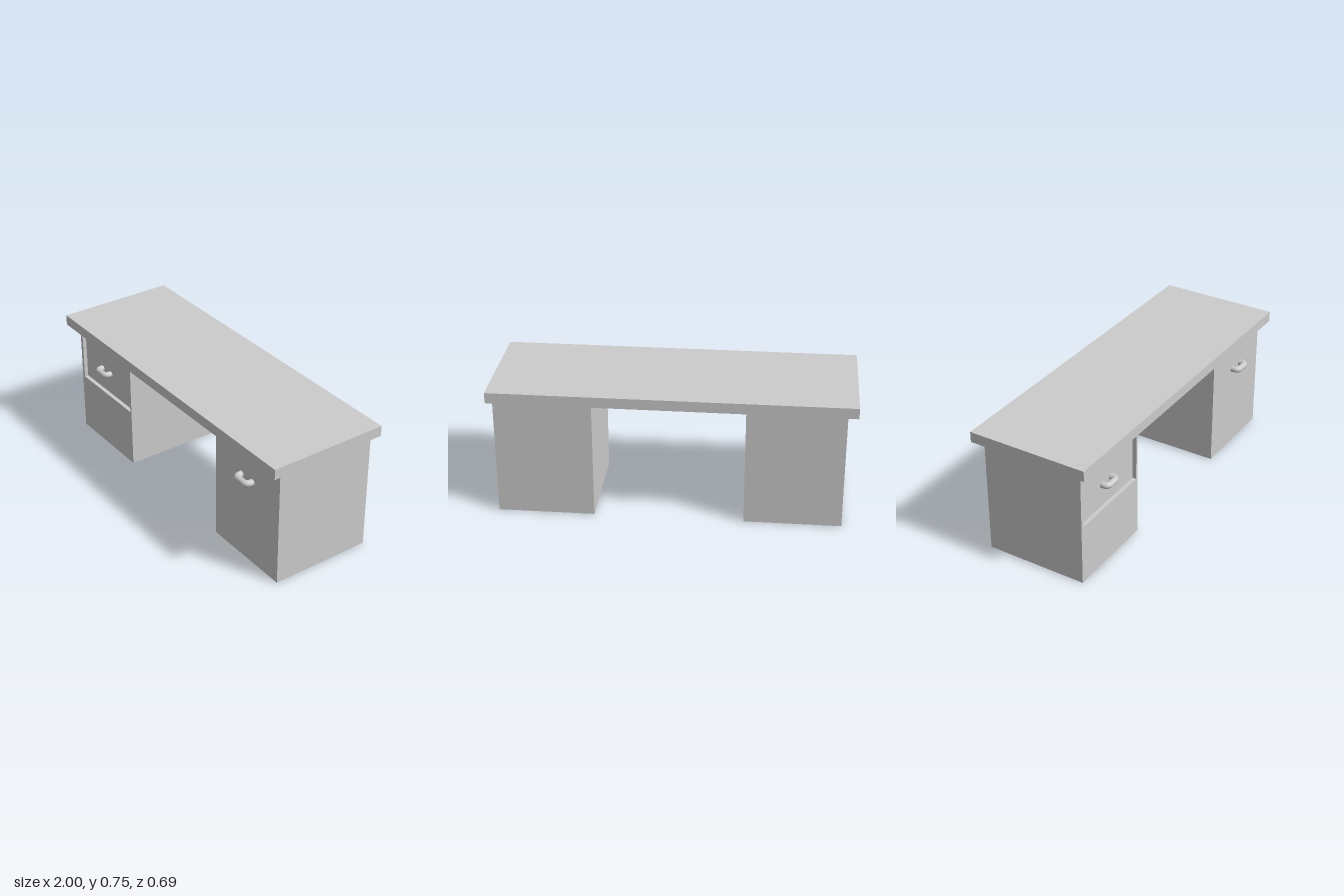
import * as THREE from 'three';

const material = new THREE.MeshStandardMaterial({ color: 0xcccccc });

const BACK = -0.303, FRONT = 0.286, UNDER = 0.685, HEIGHT = 0.745;

// Box given by its limits on each axis
function box(name, [x0, x1], [y0, y1], [z0, z1]) {
  const mesh = new THREE.Mesh(new THREE.BoxGeometry(x1 - x0, y1 - y0, z1 - z0), material);
  mesh.position.set((x0 + x1) / 2, (y0 + y1) / 2, (z0 + z1) / 2);
  mesh.name = name;
  return mesh;
}

// U-shaped pull: two legs, rounded bends and a straight bar
function handle(name, x, y, z, scale) {
  const r = 0.0185, half = 0.046, out = 0.039, bend = 0.026;
  const v = (a, b) => new THREE.Vector3(a, 0, b);
  const path = new THREE.CurvePath();
  path.add(new THREE.LineCurve3(v(-half, -0.008), v(-half, out - bend)));
  path.add(new THREE.QuadraticBezierCurve3(v(-half, out - bend), v(-half, out), v(bend - half, out)));
  path.add(new THREE.LineCurve3(v(bend - half, out), v(half - bend, out)));
  path.add(new THREE.QuadraticBezierCurve3(v(half - bend, out), v(half, out), v(half, out - bend)));
  path.add(new THREE.LineCurve3(v(half, out - bend), v(half, -0.008)));
  const mesh = new THREE.Mesh(new THREE.TubeGeometry(path, 48, r, 20), material);
  mesh.position.set(x, y, z);
  mesh.scale.setScalar(scale);
  mesh.name = name;
  return mesh;
}

// Pedestal whose front has a rectangular drawer opening
function openPedestal(name, [x0, x1], [hx0, hx1], [hy0, hy1], depth) {
  const group = new THREE.Group();
  group.name = name;
  group.add(box('pedestalBody', [x0, x1], [0, UNDER], [BACK, FRONT - depth]));
  const rect = (S, a, b, c, d) => {
    const s = new S();
    s.moveTo(a, c); s.lineTo(b, c); s.lineTo(b, d); s.lineTo(a, d); s.closePath();
    return s;
  };
  const face = rect(THREE.Shape, x0, x1, 0, UNDER);
  face.holes.push(rect(THREE.Path, hx0, hx1, hy0, hy1));
  const frame = new THREE.Mesh(
    new THREE.ExtrudeGeometry(face, { depth, bevelEnabled: false }), material);
  frame.position.z = FRONT - depth;
  frame.name = 'drawerFrame';
  group.add(frame);
  return group;
}

export function createModel() {
  const desk = new THREE.Group();
  desk.name = 'desk';

  desk.add(box('desktop', [-1, 1], [UNDER, HEIGHT], [-0.345, 0.345]));

  // Plain pedestal with its pull
  desk.add(box('leftPedestal', [0.43, 0.97], [0, UNDER], [BACK, FRONT]));
  desk.add(handle('leftHandle', 0.7, 0.508, FRONT, 1));

  // Pedestal with a slightly recessed drawer in a narrow gap
  const recess = 0.015, depth = 0.05;
  const drawerFront = FRONT - recess;
  desk.add(openPedestal('rightPedestal', [-0.945, -0.405], [-0.925, -0.417], [0.346, 0.669], depth));
  desk.add(box('drawer', [-0.911, -0.431], [0.356, 0.656], [FRONT - depth - 0.01, drawerFront]));
  desk.add(handle('drawerHandle', -0.687, 0.489, drawerFront, 0.95));

  return desk;
}
